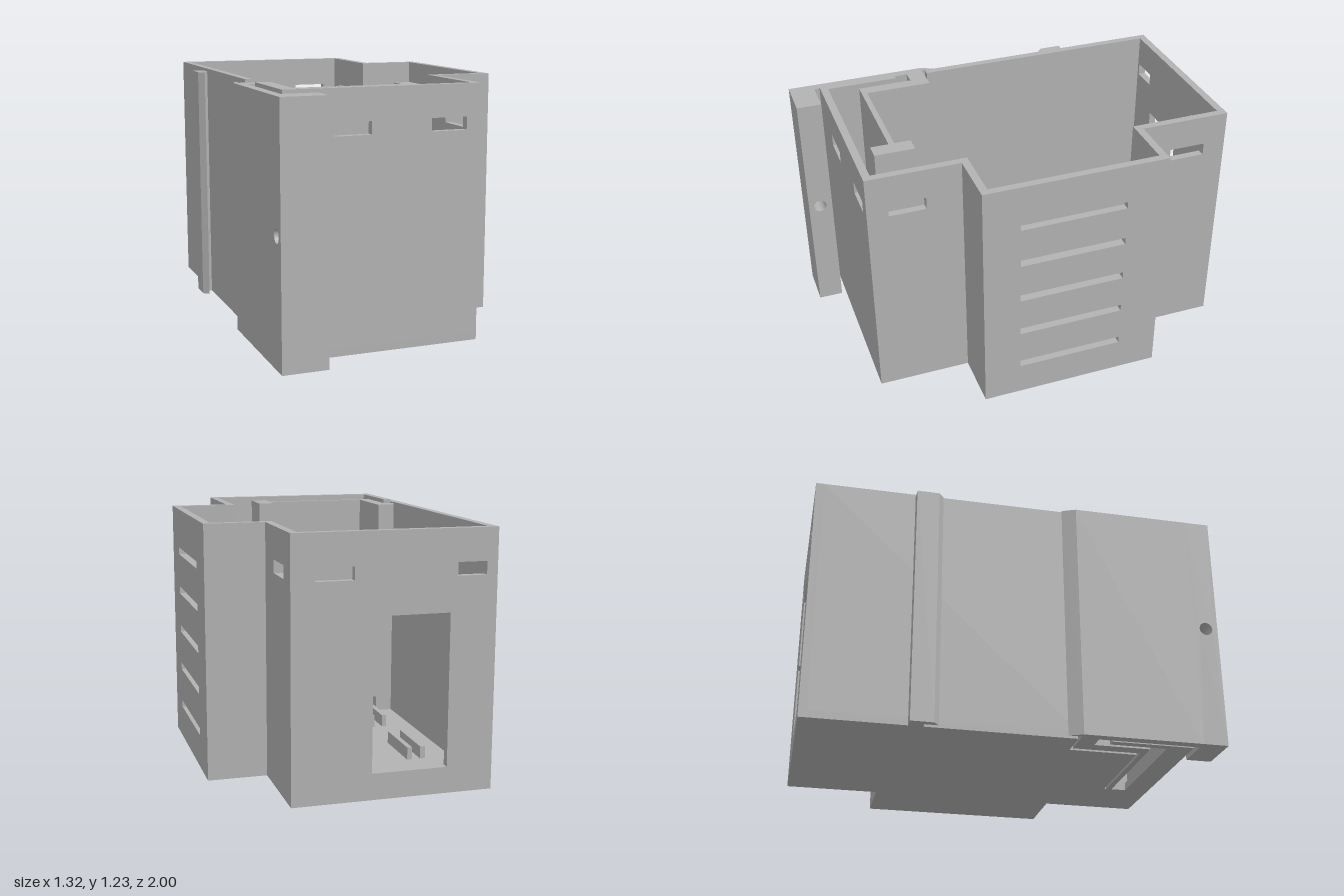
import * as THREE from 'three';

export function createModel() {
  const root = new THREE.Group();
  root.name = 'enclosure';
  const grey = new THREE.MeshStandardMaterial({ color: 0xb2b2b2 });
  grey.name = 'grey plastic';

  const T = 0.038;    // wall and floor thickness
  const H = 1.23;     // wall height
  const CLIP = 1.215; // clip height

  function add(name, geometry) {
    const mesh = new THREE.Mesh(geometry, grey);
    mesh.name = name;
    root.add(mesh);
    return mesh;
  }
  const polygon = (pts) => new THREE.Shape(pts.map(([x, y]) => new THREE.Vector2(x, y)));
  const rect = (a0, a1, b0, b1) => [[a0, b0], [a1, b0], [a1, b1], [a0, b1]];
  const extrude = (shape, depth) =>
    new THREE.ExtrudeGeometry(shape, { depth, bevelEnabled: false, curveSegments: 20 });

  // Upright prism from a plan outline of [x, z] points
  function prism(name, pts, y0, y1) {
    const g = extrude(polygon(pts.map(([x, z]) => [x, -z])), y1 - y0);
    g.rotateX(-Math.PI / 2);
    g.translate(0, y0, 0);
    return add(name, g);
  }
  // Wall facing z, openings given as lists of [x, y]
  function wallZ(name, x0, x1, z0, holes = []) {
    const s = polygon(rect(x0, x1, T, H));
    holes.forEach((h) => s.holes.push(polygon(h)));
    const g = extrude(s, T);
    g.translate(0, 0, z0);
    add(name, g);
  }
  // Wall facing x, openings given as lists of [z, y]
  function wallX(name, z0, z1, x0, holes = []) {
    const s = polygon(rect(-z1, -z0, T, H));
    holes.forEach((h) => s.holes.push(polygon(h.map(([z, y]) => [-z, y]))));
    const g = extrude(s, T);
    g.rotateY(Math.PI / 2);
    g.translate(x0, 0, 0);
    add(name, g);
  }
  const port = (a, b) => rect(a, b, 1.015, 1.077);

  // Floor with the gap around the spring clip
  prism('floor', [
    [-0.6, -1], [0.365, -1], [0.365, -0.54], [0.655, -0.54], [0.655, 0.385],
    [0.365, 0.385], [0.365, 0.85], [-0.6, 0.85], [-0.6, 0.45], [-0.562, 0.45],
    [-0.562, 0.73], [0.06, 0.73], [0.06, 0.615], [-0.455, 0.615],
    [-0.455, 0.283], [-0.6, 0.283],
  ], 0, T);

  // Front and back walls
  wallZ('frontWall', -0.6, 0.365, 0.85 - T, [port(-0.36, -0.18), port(0.115, 0.293)]);
  const door = [
    [-0.377, 0.126], [-0.014, 0.126], [-0.014, 0.487],
    [-0.07, 0.487], [-0.07, 0.85], [-0.377, 0.85],
  ];
  wallZ('backWall', -0.6, 0.365, -1, [port(0.075, 0.255), port(-0.548, -0.408), door]);

  // Right side with the wider vented bay
  const vents = [0.184, 0.393, 0.598, 0.805, 1.012]
    .map((y) => rect(-0.337, 0.2, y - 0.018, y + 0.018));
  wallX('backSideWall', -1 + T, -0.54, 0.365 - T, [port(-0.885, -0.7)]);
  wallX('frontSideWall', 0.385, 0.85 - T, 0.365 - T, [port(0.563, 0.747)]);
  wallZ('bayBackWall', 0.365 - T, 0.655, -0.54);
  wallZ('bayFrontWall', 0.365 - T, 0.655, 0.385 - T);
  wallX('ventedWall', -0.54 + T, 0.385 - T, 0.655 - T, vents);

  // Left side, open where the clip passes through
  wallX('leftWall', -1 + T, 0.283, -0.6);
  wallX('leftFrontWall', 0.45, 0.85 - T, -0.6);

  // Fixed hook on the left wall
  prism('fixedHook', [
    [-0.6, -0.51], [-0.66, -0.51], [-0.66, -0.4], [-0.63, -0.375],
    [-0.63, -0.44], [-0.6, -0.44],
  ], 0, CLIP);

  // Spring clip: post, bent arm and outer strip with hook tip
  prism('clipPost', rect(0.06, 0.142, 0.545, 0.745), T, CLIP);
  prism('springClip', [
    [0.06, 0.627], [0.06, 0.655], [-0.54, 0.655], [-0.54, 0.38], [-0.613, 0.38],
    [-0.613, 0.875], [-0.66, 0.875], [-0.66, 0.295], [-0.632, 0.228],
    [-0.632, 0.293], [-0.477, 0.293], [-0.477, 0.627],
  ], 0, CLIP);

  // Pull tab of the clip with a cross hole
  const tab = polygon(rect(-1, -0.875, 0, CLIP));
  tab.holes.push(new THREE.Path().absarc(-0.94, 0.61, 0.033, 0, Math.PI * 2, true));
  const tabGeometry = extrude(tab, 0.22);
  tabGeometry.rotateY(Math.PI / 2);
  tabGeometry.translate(-0.66, 0, 0);
  add('clipTab', tabGeometry);

  // Low ribs and locating blocks on the floor
  for (const x of [-0.425, -0.357]) {
    for (const z of [-0.605, -0.028]) {
      prism('floorRib', rect(x, x + 0.025, z, z + 0.288), T, 0.1);
    }
  }
  prism('backStop', rect(-0.392, -0.366, -1 + T, -0.9), T, 0.1);
  prism('frontStop', rect(-0.392, -0.366, 0.51, 0.538), T, 0.1);

  return root;
}
